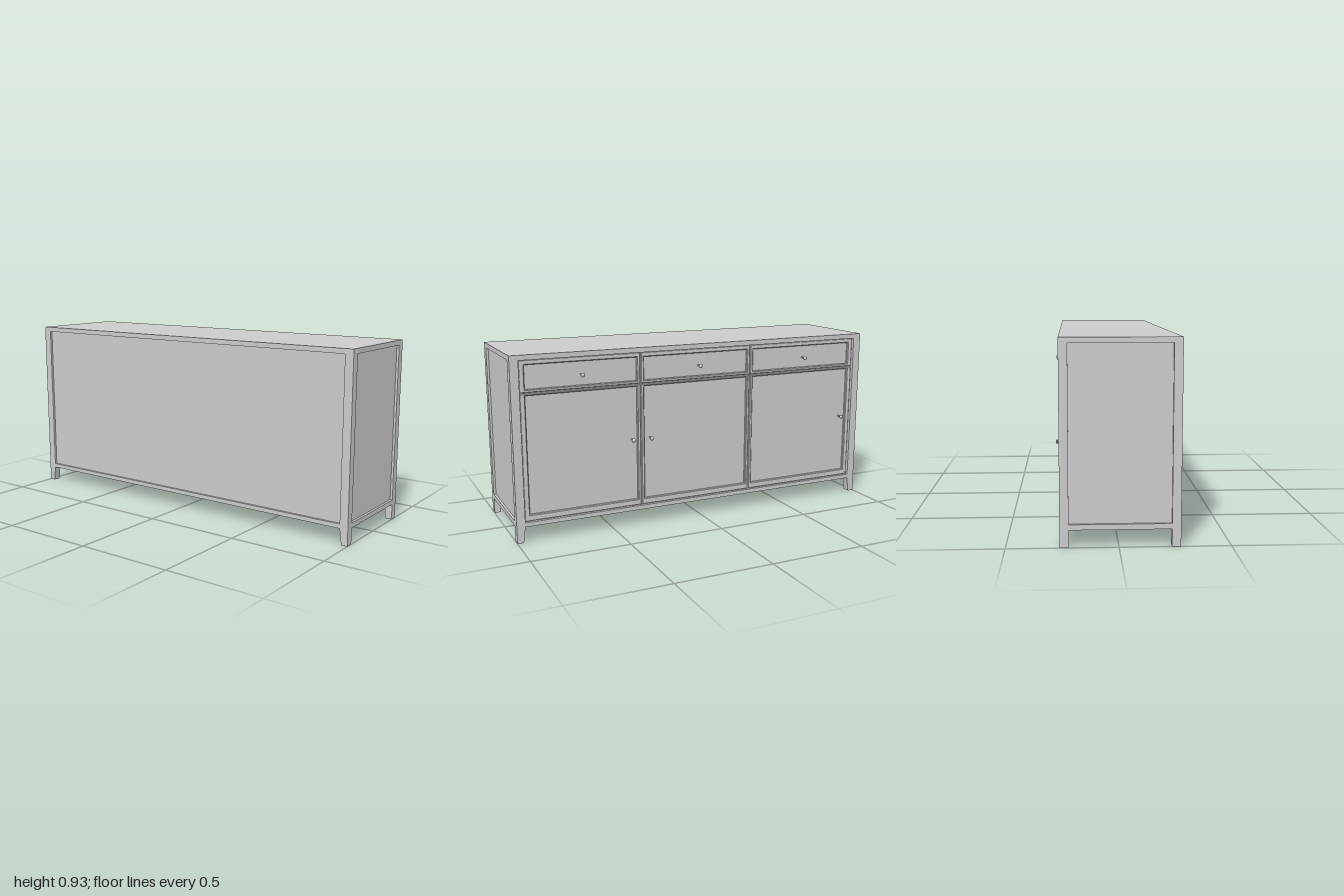
import * as THREE from 'three';

const material = new THREE.MeshStandardMaterial({ color: 0xcccccc });
const BACK = -0.275, FRONT = 0.262, BASE = 0.08, TOP = 0.925, DEPTH = 0.012;

function rect(ShapeType, x0, x1, y0, y1) {
  const s = new ShapeType();
  s.moveTo(x0, y0);
  s.lineTo(x1, y0);
  s.lineTo(x1, y1);
  s.lineTo(x0, y1);
  s.closePath();
  return s;
}

// Rectangular frame in the XY plane, extruded toward +z
function frameGeometry(outer, inner, depth, bevel = 0) {
  const shape = rect(THREE.Shape, ...outer);
  shape.holes.push(rect(THREE.Path, ...inner));
  return new THREE.ExtrudeGeometry(shape, {
    depth: depth - bevel, bevelEnabled: bevel > 0, bevelSize: bevel,
    bevelThickness: bevel, bevelOffset: -bevel, bevelSegments: 1,
  });
}

export function createModel() {
  const model = new THREE.Group();
  const add = (name, geometry, parent = model) => {
    const mesh = new THREE.Mesh(geometry, material);
    mesh.name = name;
    parent.add(mesh);
    return mesh;
  };

  // Carcass: its sides form the recessed end and back panels
  const x0 = BACK + DEPTH, x1 = 0.237;
  const carcass = add('carcass', new THREE.BoxGeometry(x1 - x0, TOP - BASE, 2 - 2 * DEPTH));
  carcass.position.set((x0 + x1) / 2, (TOP + BASE) / 2, 0);

  // Long frames, front and back
  const longOuter = [-1, 1, BASE, TOP], longInner = [-0.957, 0.957, 0.102, 0.9];
  const frontFrame = add('frontFrame', frameGeometry(longOuter, longInner, FRONT - x1));
  frontFrame.rotation.y = Math.PI / 2;
  frontFrame.position.x = x1;
  const backFrame = add('backFrame', frameGeometry(longOuter, longInner, DEPTH));
  backFrame.rotation.y = Math.PI / 2;
  backFrame.position.x = BACK;

  // End frames
  for (const [name, z] of [['leftEndFrame', 1 - DEPTH], ['rightEndFrame', -1]]) {
    const end = add(name, frameGeometry([BACK, FRONT, BASE, TOP], [-0.235, 0.222, 0.105, 0.9], DEPTH));
    end.position.z = z;
  }

  // Legs, tapered on the inner side
  for (const side of [1, -1]) {
    const legShape = new THREE.Shape([[1, BASE], [0.957, BASE], [0.968, 0], [1, 0]]
      .map(([z, y]) => new THREE.Vector2(-side * z, y)));
    for (const [name, x] of [['backLeg', BACK], ['frontLeg', FRONT - 0.04]]) {
      const leg = add(name, new THREE.ExtrudeGeometry(legShape, { depth: 0.04, bevelEnabled: false }));
      leg.rotation.y = Math.PI / 2;
      leg.position.x = x;
    }
  }

  // Knob profile: slim neck and a faceted head
  const knobGeometry = new THREE.LatheGeometry(
    [[0.004, 0], [0.004, 0.029], [0.011, 0.031], [0.011, 0.033], [0.005, 0.038], [0, 0.038]]
      .map(([r, h]) => new THREE.Vector2(r, h)), 16);
  knobGeometry.rotateZ(-Math.PI / 2);

  // Bays: outer z range, panel z range, drawer knob z, door knob z
  const bays = [
    [0.957, 0.337, 0.928, 0.356, 0.645, 0.385],
    [0.337, -0.294, 0.318, -0.275, 0.01, 0.285],
    [-0.294, -0.957, -0.313, -0.928, -0.63, -0.89],
  ];
  // Rows: name, outer y range, panel y range, knob height
  const rows = [
    ['drawer', 0.741, 0.9, 0.757, 0.875, 0.81],
    ['door', 0.102, 0.739, 0.135, 0.727, 0.455],
  ];
  for (const [z0, z1, p0, p1, ...knobZ] of bays) {
    rows.forEach(([name, y0, y1, q0, q1, knobY], row) => {
      const front = new THREE.Group();
      front.name = name;
      model.add(front);
      const border = add(name + 'Border', frameGeometry(
        [-z0 + 0.001, -z1 - 0.001, y0, y1], [-p0, -p1, q0, q1], 0.013, 0.004), front);
      border.rotation.y = Math.PI / 2;
      border.position.x = x1;
      const knob = add(name + 'Knob', knobGeometry, front);
      knob.position.set(x1, knobY, knobZ[row]);
    });
  }
  return model;
}
